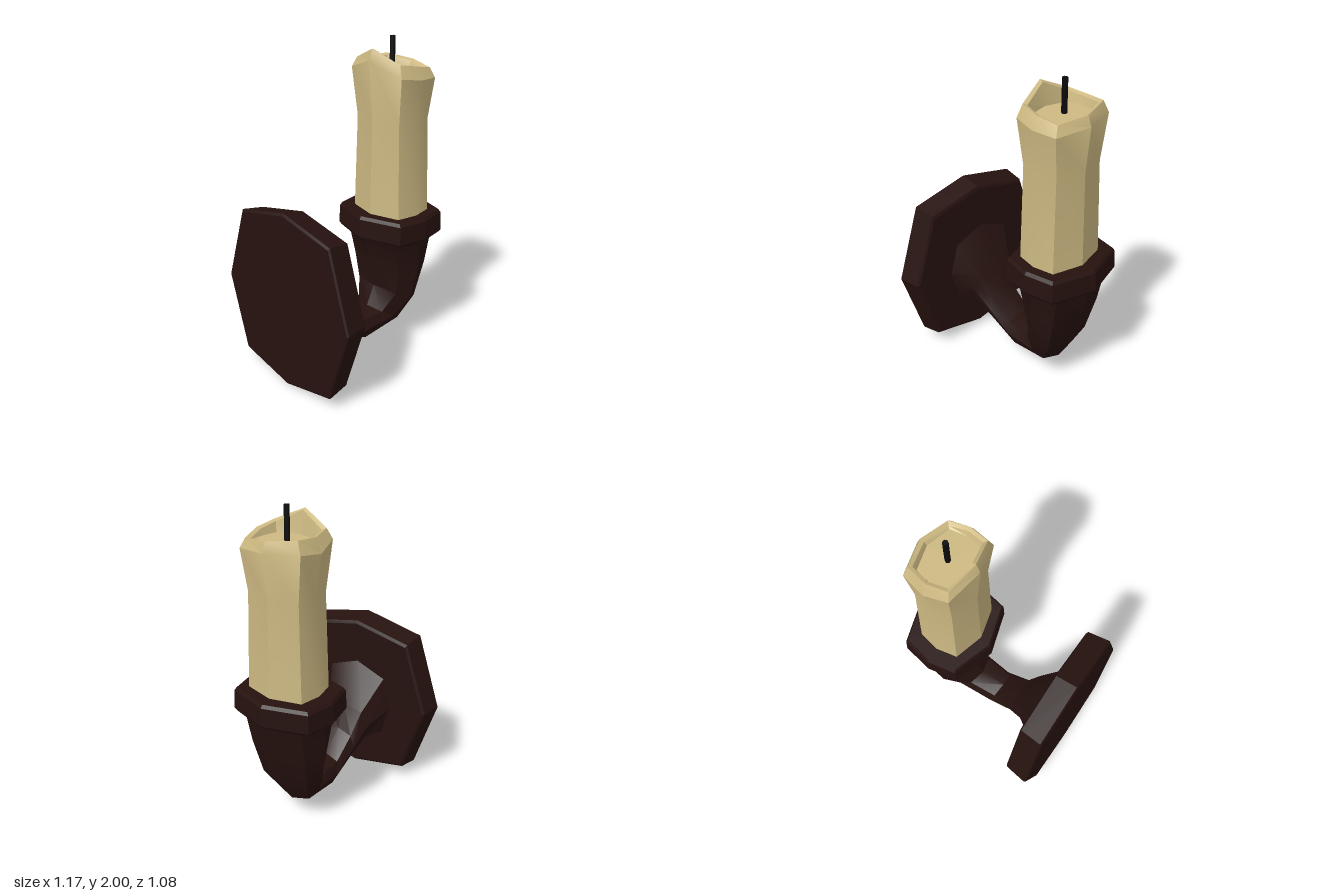
import * as THREE from 'three';
import { toCreasedNormals } from 'three/addons/utils/BufferGeometryUtils.js';

const SIDES = 8;

// Eight-sided section spanning outer -> inner in the xy plane, with half width along z.
// du, dv place the four diagonal corners.
function section([ox, oy], [ix, iy], half, zc = -0.015, du = 0.72, dv = 0.78) {
  const c = new THREE.Vector3((ox + ix) / 2, (oy + iy) / 2, zc);
  const u = new THREE.Vector3((ox - ix) / 2, (oy - iy) / 2, 0);
  const v = new THREE.Vector3(0, 0, half);
  const unit = [[1, 0], [du, dv], [0, 1], [-du, dv], [-1, 0], [-du, -dv], [0, -1], [du, -dv]];
  return unit.map(([a, b]) => c.clone().addScaledVector(u, a).addScaledVector(v, b));
}

// Skin a list of sections and close both ends with fans.
function loft(rings, crease = 0.5) {
  const pos = [];
  const tri = (...pts) => pts.forEach((p) => pos.push(p.x, p.y, p.z));
  const centre = (ring) => ring.reduce((s, p) => s.add(p), new THREE.Vector3()).divideScalar(SIDES);
  const first = rings[0], last = rings[rings.length - 1];
  const c0 = centre(first), c1 = centre(last);
  for (let i = 0; i < SIDES; i++) {
    const j = (i + 1) % SIDES;
    for (let r = 0; r < rings.length - 1; r++) {
      const a = rings[r], b = rings[r + 1];
      tri(a[i], b[i], b[j]);
      tri(a[i], b[j], a[j]);
    }
    tri(c0, first[i], first[j]);
    tri(c1, last[j], last[i]);
  }
  const g = new THREE.BufferGeometry();
  g.setAttribute('position', new THREE.Float32BufferAttribute(pos, 3));
  return toCreasedNormals(g, crease);
}

export function createModel() {
  const group = new THREE.Group();
  const iron = new THREE.MeshStandardMaterial({ color: 0x26120f });
  const wax = new THREE.MeshStandardMaterial({ color: 0xcdb982 });
  const char = new THREE.MeshStandardMaterial({ color: 0x0b0b0b });
  const add = (name, geometry, material) => {
    const mesh = new THREE.Mesh(geometry, material);
    mesh.name = name;
    group.add(mesh);
    return mesh;
  };

  // Wall plate: bevelled octagon, leaning slightly
  add('wallPlate', loft([
    [[-0.588, 0.015], [-0.572, 1.1], 0.53],
    [[-0.58, 0.003], [-0.562, 1.115], 0.54],
    [[-0.44, 0.028], [-0.422, 1.09], 0.52],
    [[-0.428, 0.045], [-0.413, 1.07], 0.505],
  ].map(([o, i, h]) => section(o, i, h, -0.004, 0.85, 0.715)), 0.3), iron);

  // Arm: flares off the plate, dips, then swells upward into the cup
  add('arm', loft([
    [[-0.435, 0.255], [-0.425, 0.82], 0.265],
    [[-0.35, 0.275], [-0.26, 0.56], 0.165],
    [[-0.2, 0.18], [-0.2, 0.4], 0.125],
    [[0.01, 0.09], [-0.06, 0.275], 0.12],
    [[0.31, 0.14], [0.11, 0.275], 0.14],
    [[0.41, 0.3], [0.17, 0.4], 0.215],
    [[0.485, 0.55], [0.145, 0.57], 0.25],
    [[0.53, 0.72], [0.1, 0.72], 0.262],
    [[0.548, 0.78], [0.065, 0.78], 0.285],
  ].map(([o, i, h]) => section(o, i, h))), iron);

  // Cup rim
  add('cupRim', loft([
    [0.765, 0.262], [0.785, 0.275], [0.9, 0.27], [0.92, 0.258],
  ].map(([y, r]) => section([0.31 + r, y], [0.31 - r, y], r * 1.125, -0.015, 0.69, 0.88)), 0.3), iron);

  // Candle: waisted shaft, flared shoulder, uneven melted rim and sunken pool
  const ring = (rx, rz, heights) => section([0.305 + rx, 0], [0.305 - rx, 0], rz, -0.002, 0.72, 0.88)
    .map((p, k) => p.setY(Array.isArray(heights) ? heights[k] : heights));
  const shoulder = [1.78, 1.76, 1.77, 1.79, 1.88, 1.81, 1.77, 1.79];
  const rim = [1.84, 1.82, 1.845, 1.867, 1.945, 1.87, 1.855, 1.862];
  add('candle', loft([
    ring(0.185, 0.218, 0.91),
    ring(0.174, 0.198, 1.51),
    ring(0.202, 0.233, shoulder),
    ring(0.178, 0.2, rim),
    ring(0.155, 0.178, rim.map((y) => y - 0.01)),
    ring(0.14, 0.165, 1.8),
  ]), wax);

  // Wick
  add('wick', new THREE.CylinderGeometry(0.017, 0.017, 0.2, 6), char).position.set(0.305, 1.9, -0.01);

  return group;
}
